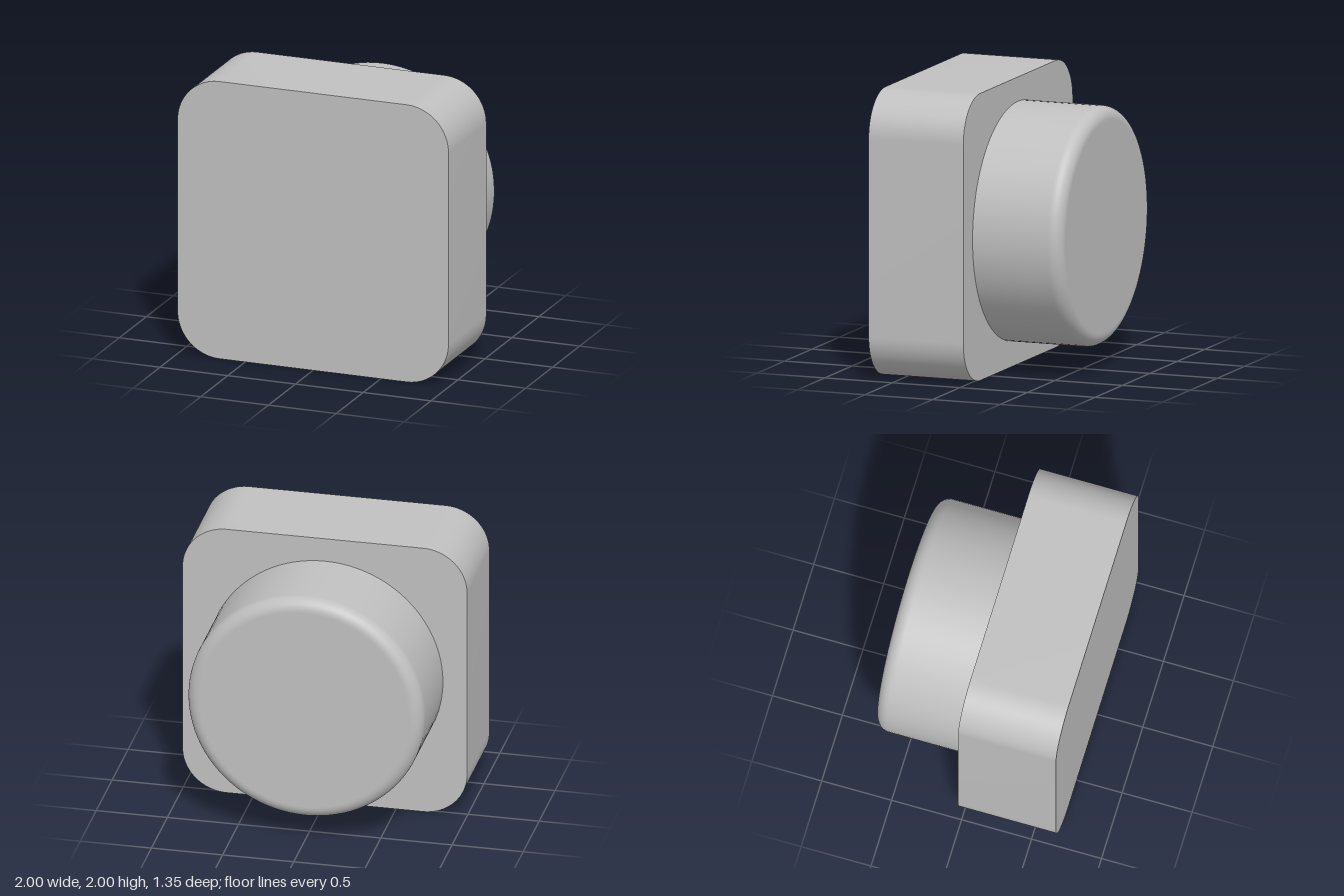
import * as THREE from 'three';
import { toCreasedNormals } from 'three/addons/utils/BufferGeometryUtils.js';

const HALF = 1, CORNER = 0.31;        // square plate
const FRONT = 0.675, SEAM = -0.025;   // plate front face and back face
const RADIUS = 0.83, FILLET = 0.09, HEIGHT = 0.65; // round boss

// Square outline with rounded corners
function roundedSquare(h, r) {
  const s = new THREE.Shape();
  const c = h - r;
  s.absarc(c, c, r, 0, Math.PI / 2);
  s.absarc(-c, c, r, Math.PI / 2, Math.PI);
  s.absarc(-c, -c, r, Math.PI, Math.PI * 1.5);
  s.absarc(c, -c, r, Math.PI * 1.5, Math.PI * 2);
  s.closePath();
  return s;
}

export function createModel() {
  const group = new THREE.Group();
  group.name = 'roundKnobOnPlate';
  const grey = new THREE.MeshStandardMaterial({ color: 0xc0c0c0 });
  grey.name = 'light grey';

  // Thick plate with rounded corners and sharp front and back edges
  const plateGeometry = new THREE.ExtrudeGeometry(roundedSquare(HALF, CORNER), {
    depth: FRONT - SEAM, bevelEnabled: false, curveSegments: 20,
  });
  const plate = new THREE.Mesh(toCreasedNormals(plateGeometry, 0.5), grey);
  plate.name = 'plate';
  plate.position.set(0, HALF, SEAM);
  group.add(plate);

  // Round boss on the back, with a filleted outer rim
  const profile = [
    new THREE.Vector2(RADIUS, 0),
    new THREE.Vector2(RADIUS, HEIGHT - FILLET - 0.005),
  ];
  for (let i = 0; i <= 12; i++) {
    const a = (i / 12) * Math.PI / 2;
    profile.push(new THREE.Vector2(
      RADIUS - FILLET + FILLET * Math.cos(a),
      HEIGHT - FILLET + FILLET * Math.sin(a),
    ));
  }
  profile.push(new THREE.Vector2(RADIUS - FILLET - 0.005, HEIGHT), new THREE.Vector2(0, HEIGHT));
  const bossGeometry = new THREE.LatheGeometry(profile, 96);
  bossGeometry.rotateX(-Math.PI / 2);
  const boss = new THREE.Mesh(bossGeometry, grey);
  boss.name = 'roundBoss';
  boss.position.set(0, HALF, SEAM);
  group.add(boss);

  return group;
}
